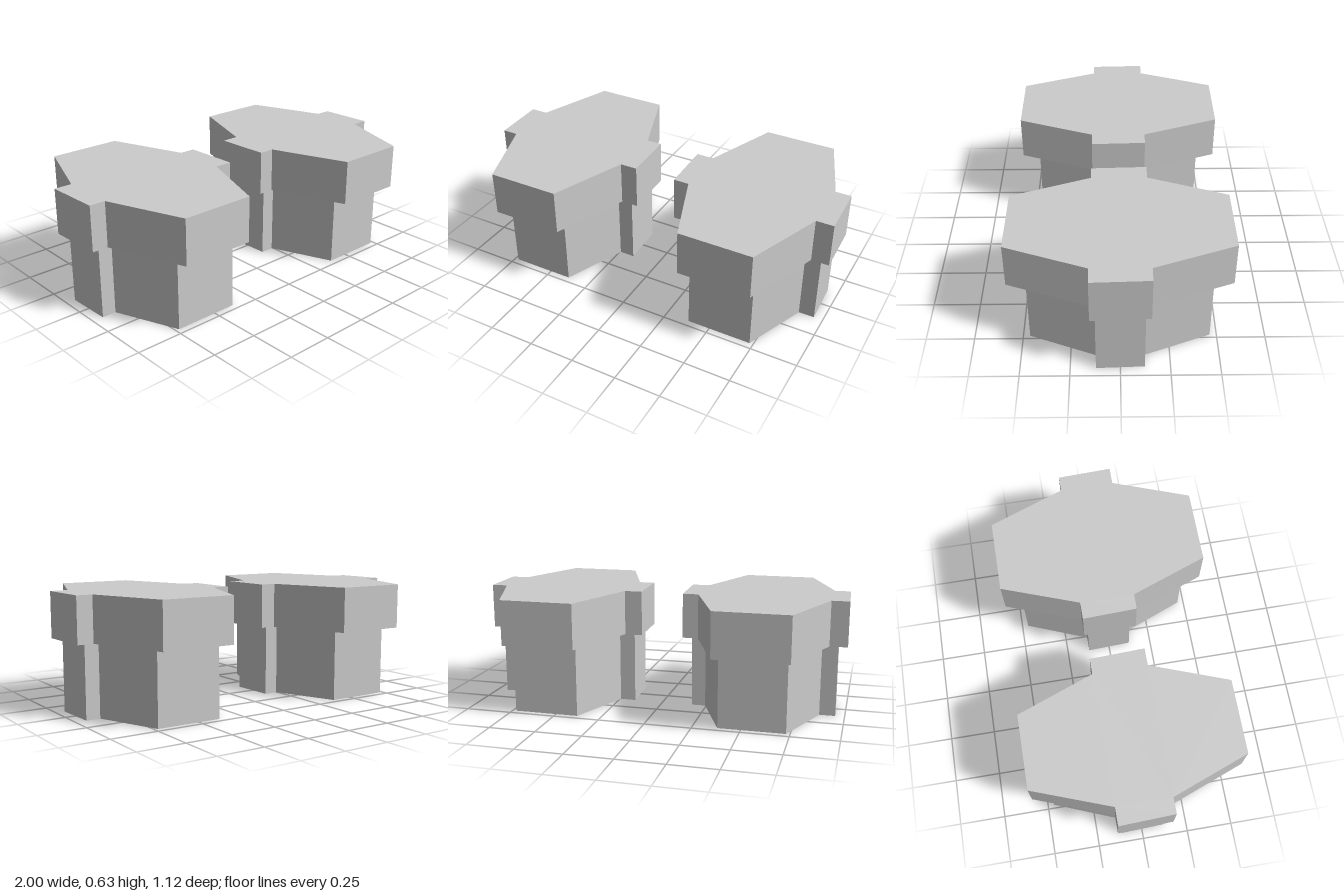
import * as THREE from 'three';

// Plan outline of one block (x, z), a stretched hexagon with a tab on each side
const OUTLINE = [
  [-0.197, 0.56], [0.197, 0.56], [0.35, 0.147], [0.445, 0.147], [0.435, -0.147], [0.35, -0.147],
  [0.197, -0.56], [-0.197, -0.56], [-0.35, -0.147], [-0.445, -0.147], [-0.435, 0.147], [-0.35, 0.147],
];

const material = new THREE.MeshStandardMaterial({ color: 0xcccccc, flatShading: true });

// Upright prism of the outline, scaled in x and z
function prism(name, sx, sz, bottom, top) {
  const shape = new THREE.Shape(OUTLINE.map(([x, z]) => new THREE.Vector2(x * sx, -z * sz)));
  const geometry = new THREE.ExtrudeGeometry(shape, { depth: top - bottom, bevelEnabled: false });
  geometry.rotateX(-Math.PI / 2).translate(0, bottom, 0);
  const mesh = new THREE.Mesh(geometry, material);
  mesh.name = name;
  return mesh;
}

export function createModel() {
  const model = new THREE.Group();
  model.name = 'pairOfBlocks';
  // Two identical blocks side by side, each a narrower base under a wider cap
  for (const [name, x] of [['rightBlock', -0.555], ['leftBlock', 0.555]]) {
    const block = new THREE.Group();
    block.name = name;
    block.add(prism('base', 0.89, 0.83, 0, 0.385), prism('cap', 1, 1, 0.385, 0.627));
    block.position.x = x;
    model.add(block);
  }
  return model;
}
